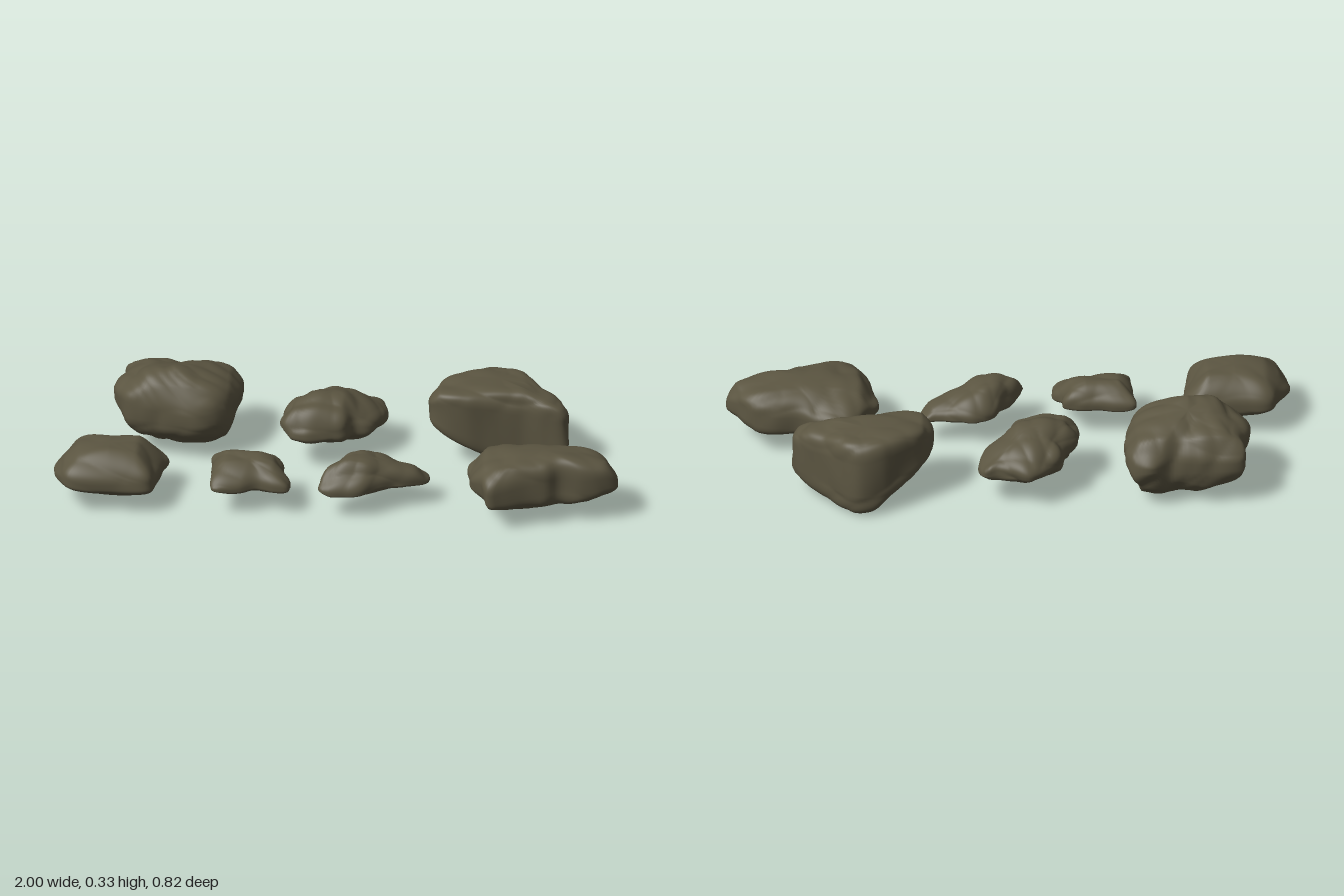
import * as THREE from 'three';

const AROUND = 96, DOWN = 48;

// Piecewise-linear lookup in a list of [position, height]
function profile(pts, v) {
  if (v <= pts[0][0]) return pts[0][1];
  for (let i = 1; i < pts.length; i++) {
    const [a, ya] = pts[i - 1], [b, yb] = pts[i];
    if (v <= b) return ya + (yb - ya) * (v - a) / (b - a);
  }
  return pts[pts.length - 1][1];
}

// Lower of two heights with a rounded transition
const softMin = (a, b) => 0.5 * (a + b - Math.hypot(a - b, 0.014)) + 0.004;

// Weathered surface: broad lumps with sharp creases and finer chips
function rough(x, y, z, s) {
  const w = Math.sin(9 * x + 6 * z + s) + Math.sin(11 * y - 8 * z + 2 * s);
  const lumps = Math.abs(Math.sin(13 * x + 9 * y + w + s)) + Math.abs(Math.sin(15 * z - 10 * y + 1.3 * w + 3 * s));
  const chips = Math.abs(Math.sin(31 * x - 23 * z + 2 * w)) + Math.abs(Math.sin(29 * y + 27 * z - 2 * w + s));
  return (lumps - 1.3) * 0.7 + (chips - 1.3) * 0.3;
}

// A rock from its plan outline, top and bottom profiles along x and z,
// squareness p, widest level e (0 bottom, 1 top) and roughness
function rockGeometry({ outline, topX, topZ, botX, botZ, p, e, bump, seed }) {
  const xs = outline.map(q => q[0]), zs = outline.map(q => q[1]);
  const cx = (Math.min(...xs) + Math.max(...xs)) / 2, cz = (Math.min(...zs) + Math.max(...zs)) / 2;
  const angle = q => Math.atan2(q[1] - cz, q[0] - cx);
  const sorted = [...outline].sort((a, b) => angle(a) - angle(b));
  const curve = new THREE.CatmullRomCurve3(sorted.map(q => new THREE.Vector3(q[0], 0, q[1])), true, 'centripetal');
  const rim = curve.getSpacedPoints(AROUND).slice(0, AROUND);

  const pos = [], index = [];
  const add = (x, z, h, r) => {
    const top = softMin(profile(topX, x), profile(topZ, z));
    const bot = Math.min(top - 0.015, -softMin(-profile(botX, x), -profile(botZ, z)));
    const mid = bot + (top - bot) * e;
    const y = mid + (h > 0 ? (top - mid) * h : (mid - bot) * h);
    const d = bump * rough(x, y, z, seed);
    const len = Math.hypot(x - cx, z - cz) || 1;
    pos.push(x + (x - cx) / len * d * r, Math.max(0, y + d * h), z + (z - cz) / len * d * r);
  };
  add(cx, cz, 1, 0);
  for (let i = 1; i < DOWN; i++) {
    const a = Math.PI * i / DOWN, c = Math.cos(a);
    const r = Math.pow(Math.sin(a), 2 / p), h = Math.sign(c) * Math.pow(Math.abs(c), 2 / p);
    for (const q of rim) add(cx + (q.x - cx) * r, cz + (q.z - cz) * r, Math.abs(c) < 1e-6 ? 0 : h, r);
  }
  add(cx, cz, -1, 0);
  const last = pos.length / 3 - 1;
  for (let j = 0; j < AROUND; j++) {
    const k = (j + 1) % AROUND;
    index.push(0, 1 + k, 1 + j);
    for (let i = 0; i < DOWN - 2; i++) {
      const a = 1 + i * AROUND + j, b = 1 + i * AROUND + k;
      index.push(a, b, a + AROUND, b, b + AROUND, a + AROUND);
    }
    index.push(last, last - AROUND + j, last - AROUND + k);
  }
  const g = new THREE.BufferGeometry();
  g.setAttribute('position', new THREE.Float32BufferAttribute(pos, 3));
  g.setIndex(index);
  g.computeVertexNormals();
  return g;
}

const rocks = {
  // Large block at the back, its underside rising toward the front
  backRightBoulder: {
    outline: [[-0.82, -0.22], [-0.78, -0.3], [-0.78, -0.38], [-0.65, -0.39], [-0.53, -0.375], [-0.45, -0.41], [-0.38, -0.37],
      [-0.37, -0.28], [-0.38, -0.2], [-0.4, -0.13], [-0.44, -0.08], [-0.52, -0.05], [-0.6, -0.06], [-0.7, -0.08], [-0.78, -0.12]],
    topX: [[-0.82, 0.25], [-0.7, 0.31], [-0.6, 0.335], [-0.52, 0.3], [-0.41, 0.275], [-0.37, 0.23]],
    topZ: [[-0.41, 0.2], [-0.35, 0.27], [-0.23, 0.305], [-0.16, 0.335], [-0.1, 0.3], [-0.05, 0.24]],
    botX: [[-0.82, 0.15], [-0.76, 0.08], [-0.6, 0.03], [-0.5, 0.02], [-0.42, 0.03], [-0.37, 0.13]],
    botZ: [[-0.41, 0.14], [-0.37, 0.06], [-0.32, 0.02], [-0.2, 0.02], [-0.11, 0.06], [-0.05, 0.1]],
    p: 3.6, e: 0.5, bump: 0.009, seed: 1,
  },
  // Smooth wedge at the front
  frontRightBoulder: {
    outline: [[-1, 0.23], [-0.95, 0.13], [-0.92, 0.085], [-0.8, 0.09], [-0.7, 0.095], [-0.6, 0.12], [-0.61, 0.18],
      [-0.63, 0.27], [-0.65, 0.345], [-0.76, 0.36], [-0.94, 0.36], [-0.97, 0.32]],
    topX: [[-1, 0.13], [-0.96, 0.18], [-0.91, 0.21], [-0.8, 0.23], [-0.7, 0.225], [-0.6, 0.14]],
    topZ: [[0.08, 0.18], [0.16, 0.23], [0.28, 0.23], [0.37, 0.17]],
    botX: [[-1, 0.1], [-0.92, 0.08], [-0.75, 0.05], [-0.66, 0.045], [-0.6, 0.08]],
    botZ: [[0.08, 0.08], [0.15, 0.05], [0.3, 0.05], [0.37, 0.075]],
    p: 3.2, e: 0.35, bump: 0.005, seed: 2,
  },
  backMiddleRock: {
    outline: [[-0.22, -0.07], [-0.21, -0.16], [-0.16, -0.22], [-0.14, -0.28], [-0.08, -0.33], [-0.03, -0.36], [0.03, -0.34], [0.09, -0.32],
      [0.14, -0.32], [0.15, -0.25], [0.13, -0.17], [0.09, -0.12], [0.04, -0.1], [0, -0.05], [-0.08, -0.03], [-0.14, -0.02], [-0.2, -0.04]],
    topX: [[-0.22, 0.2], [-0.17, 0.24], [-0.08, 0.25], [0, 0.24], [0.05, 0.21], [0.15, 0.17]],
    topZ: [[-0.36, 0.17], [-0.25, 0.23], [-0.15, 0.25], [-0.08, 0.235], [-0.02, 0.19]],
    botX: [[-0.22, 0.14], [-0.18, 0.09], [-0.05, 0.07], [0.15, 0.08]],
    botZ: [[-0.36, 0.1], [-0.15, 0.07], [-0.02, 0.1]],
    p: 2.9, e: 0.4, bump: 0.013, seed: 3,
  },
  smallRock: {
    outline: [[-0.44, 0.13], [-0.38, 0.125], [-0.32, 0.135], [-0.24, 0.145], [-0.19, 0.17], [-0.185, 0.22], [-0.16, 0.26],
      [-0.165, 0.31], [-0.21, 0.32], [-0.28, 0.31], [-0.34, 0.335], [-0.43, 0.345], [-0.435, 0.27], [-0.44, 0.2]],
    topX: [[-0.44, 0.16], [-0.39, 0.2], [-0.27, 0.195], [-0.22, 0.18], [-0.16, 0.135]],
    topZ: [[0.12, 0.15], [0.2, 0.205], [0.26, 0.19], [0.34, 0.13]],
    botX: [[-0.44, 0.1], [-0.36, 0.08], [-0.16, 0.075]],
    botZ: [[0.12, 0.09], [0.25, 0.075], [0.34, 0.08]],
    p: 3, e: 0.35, bump: 0.009, seed: 4,
  },
  frontMiddleRock: {
    outline: [[-0.06, 0.31], [-0.03, 0.24], [0.02, 0.18], [0.06, 0.12], [0.12, 0.1], [0.2, 0.11], [0.27, 0.13], [0.32, 0.14],
      [0.32, 0.19], [0.27, 0.23], [0.2, 0.26], [0.15, 0.29], [0.09, 0.33], [0.02, 0.335], [-0.05, 0.33]],
    topX: [[-0.06, 0.15], [-0.02, 0.21], [0.03, 0.22], [0.15, 0.185], [0.28, 0.145], [0.33, 0.1]],
    topZ: [[0.1, 0.15], [0.19, 0.22], [0.27, 0.2], [0.34, 0.13]],
    botX: [[-0.06, 0.1], [0, 0.075], [0.2, 0.08], [0.33, 0.075]],
    botZ: [[0.1, 0.09], [0.2, 0.07], [0.34, 0.08]],
    p: 2.9, e: 0.3, bump: 0.009, seed: 5,
  },
  // Upright slab at the back
  backLeftBoulder: {
    outline: [[0.3, -0.18], [0.35, -0.255], [0.44, -0.31], [0.5, -0.345], [0.58, -0.36], [0.63, -0.33], [0.7, -0.25], [0.78, -0.17],
      [0.8, -0.13], [0.79, -0.095], [0.72, -0.095], [0.65, -0.11], [0.58, -0.11], [0.5, -0.1], [0.44, -0.09], [0.36, -0.095], [0.31, -0.12]],
    topX: [[0.3, 0.25], [0.34, 0.29], [0.5, 0.3], [0.63, 0.295], [0.7, 0.275], [0.8, 0.24]],
    topZ: [[-0.36, 0.29], [-0.33, 0.3], [-0.1, 0.295]],
    botX: [[0.3, 0.16], [0.36, 0.12], [0.45, 0.07], [0.53, 0.015], [0.6, 0], [0.72, 0.025], [0.8, 0.06]],
    botZ: [[-0.36, 0.015], [-0.33, 0.005], [-0.1, 0]],
    p: 6.5, e: 0.5, bump: 0.008, seed: 6,
  },
  // Long flat boulder at the front
  frontLeftBoulder: {
    outline: [[0.47, 0.16], [0.52, 0.1], [0.55, 0.06], [0.6, 0.04], [0.69, 0.06], [0.76, 0.1], [0.85, 0.105], [0.92, 0.13], [0.97, 0.19], [1, 0.25],
      [0.95, 0.29], [0.88, 0.31], [0.8, 0.305], [0.75, 0.34], [0.68, 0.36], [0.6, 0.39], [0.55, 0.405], [0.52, 0.35], [0.48, 0.31], [0.47, 0.24]],
    topX: [[0.47, 0.17], [0.53, 0.23], [0.65, 0.255], [0.8, 0.25], [0.96, 0.23], [1, 0.19]],
    topZ: [[0.04, 0.17], [0.1, 0.205], [0.16, 0.24], [0.27, 0.255], [0.35, 0.245], [0.41, 0.19]],
    botX: [[0.47, 0.12], [0.56, 0.07], [0.7, 0.06], [0.9, 0.075], [1, 0.11]],
    botZ: [[0.04, 0.1], [0.09, 0.07], [0.2, 0.055], [0.34, 0.06], [0.41, 0.075]],
    p: 4.2, e: 0.45, bump: 0.008, seed: 7,
  },
};

export function createModel() {
  const group = new THREE.Group();
  group.name = 'rocks';
  const stone = new THREE.MeshStandardMaterial({ color: 0x5b5541 });
  stone.name = 'stone';
  for (const [name, spec] of Object.entries(rocks)) {
    const mesh = new THREE.Mesh(rockGeometry(spec), stone);
    mesh.name = name;
    group.add(mesh);
  }
  return group;
}
